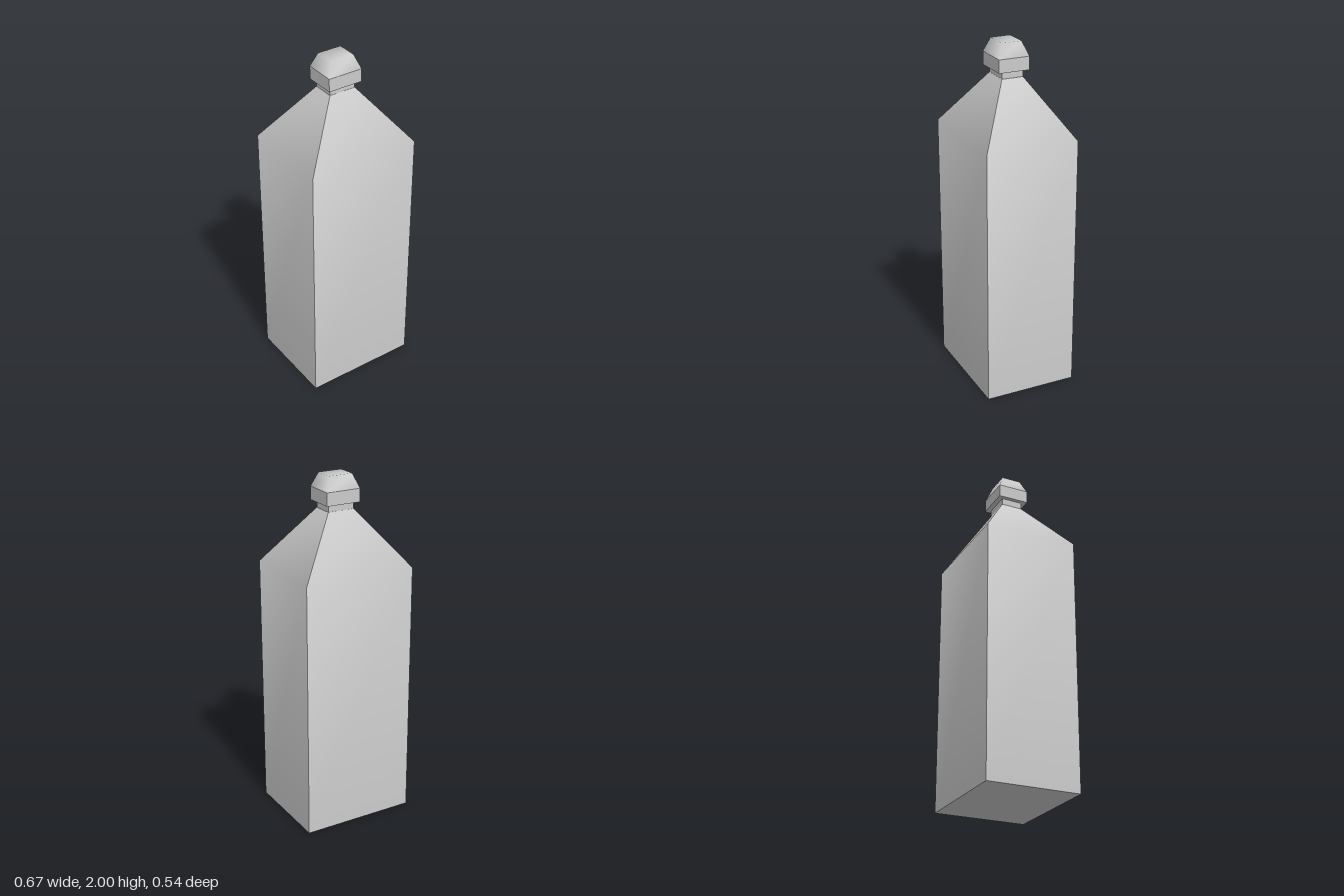
import * as THREE from 'three';
import { toCreasedNormals } from 'three/addons/utils/BufferGeometryUtils.js';

const CORNERS = [[1, 1], [1, -1], [-1, -1], [-1, 1]];

// Loft through rectangular sections, each [y, halfWidth, halfDepth], bottom to top
function loft(sections, closeBottom = true) {
  const positions = [];
  const index = [];
  for (const [y, w, d] of sections) {
    for (const [sx, sz] of CORNERS) positions.push(sx * w, y, sz * d);
  }
  for (let s = 0; s < sections.length - 1; s++) {
    for (let i = 0; i < 4; i++) {
      const a = s * 4 + i;
      const b = s * 4 + (i + 1) % 4;
      index.push(a, b, b + 4, a, b + 4, a + 4);
    }
  }
  const t = (sections.length - 1) * 4;
  index.push(t, t + 1, t + 2, t, t + 2, t + 3);
  if (closeBottom) index.push(0, 2, 1, 0, 3, 2);
  const geometry = new THREE.BufferGeometry();
  geometry.setAttribute('position', new THREE.Float32BufferAttribute(positions, 3));
  geometry.setIndex(index);
  geometry.computeVertexNormals();
  return geometry;
}

export function createModel() {
  const group = new THREE.Group();
  group.name = 'bottle';
  const material = new THREE.MeshStandardMaterial({ color: 0xcccccc });
  const add = (name, geometry) => {
    const mesh = new THREE.Mesh(geometry, material);
    mesh.name = name;
    group.add(mesh);
  };

  // Body and shoulder blend softly, with sharp vertical corners
  add('body', toCreasedNormals(loft([
    [0, 0.333, 0.271],
    [1.485, 0.333, 0.271],
    [1.805, 0.08, 0.063],
  ]), 0.85));

  // Short neck under the cap
  add('neck', toCreasedNormals(loft([[1.8, 0.079, 0.062], [1.85, 0.079, 0.062]]), 0.5));

  // Straight cap band
  add('capBand', toCreasedNormals(loft([[1.845, 0.103, 0.09], [1.92, 0.103, 0.09]]), 0.5));

  // Tapered cap top, smooth across its edges
  add('capTop', loft([[1.92, 0.103, 0.09], [2, 0.071, 0.058]], false));

  return group;
}
